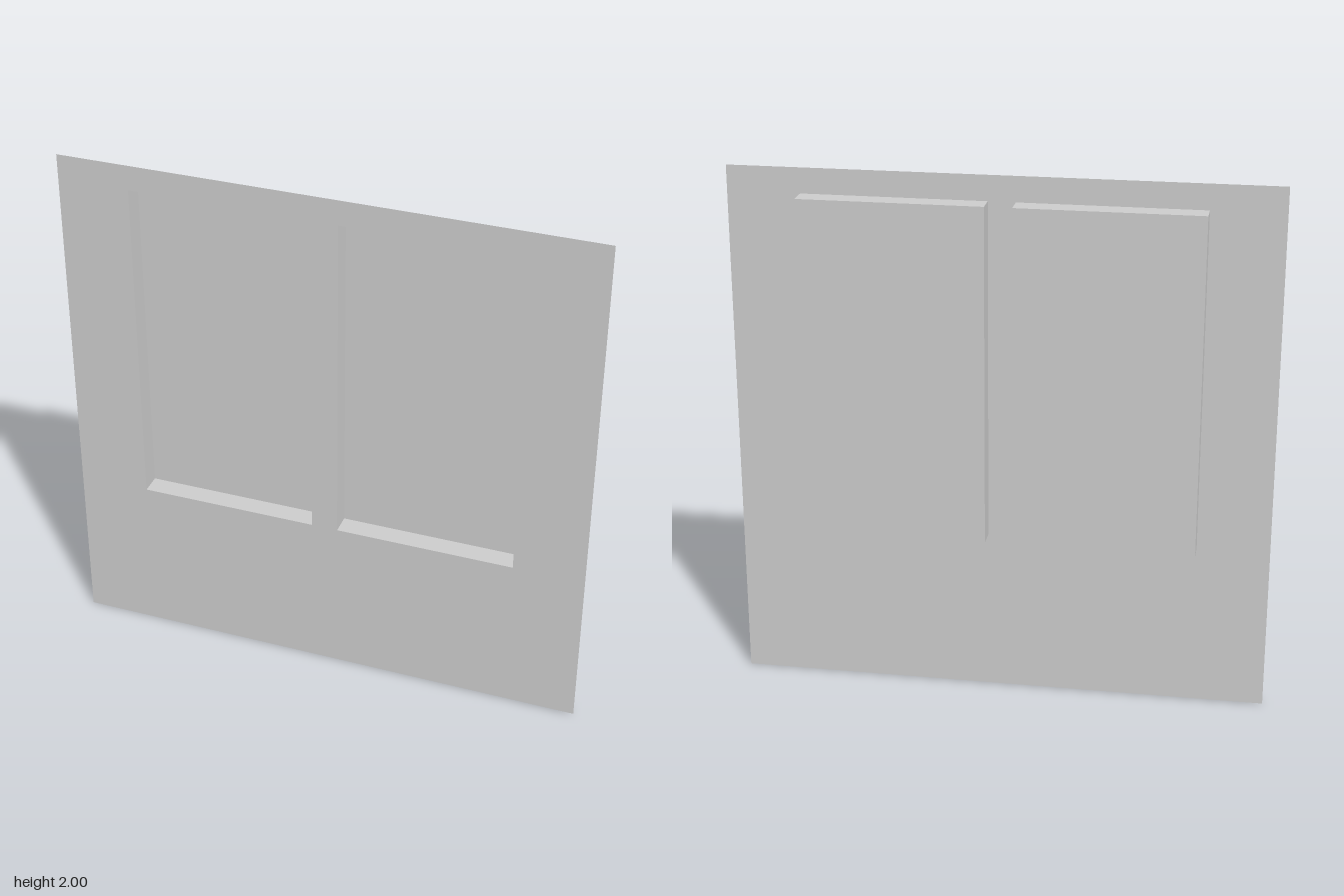
import * as THREE from 'three';

const material = new THREE.MeshStandardMaterial({ color: 0xcccccc, side: THREE.DoubleSide });
const DEPTH = 0.08;
const PANE = { x: 0.39, y: 1.265, w: 0.68, h: 1.28 };

// Thin sheet with two rectangular openings, lying in the front plane
function makeSheet() {
  const rect = (path, x, y, w, h) => path
    .moveTo(x - w / 2, y - h / 2).lineTo(x + w / 2, y - h / 2)
    .lineTo(x + w / 2, y + h / 2).lineTo(x - w / 2, y + h / 2).closePath();
  const shape = rect(new THREE.Shape(), 0, 1, 2, 2);
  for (const side of [-1, 1]) {
    shape.holes.push(rect(new THREE.Path(), side * PANE.x, PANE.y, PANE.w, PANE.h));
  }
  const sheet = new THREE.Mesh(new THREE.ShapeGeometry(shape), material);
  sheet.name = 'wallSheet';
  sheet.position.z = DEPTH / 2;
  return sheet;
}

// Shallow tray: a box with its front (+z) face left out
function makeRecess(side) {
  const geometry = new THREE.BoxGeometry(PANE.w, PANE.h, DEPTH);
  const index = Array.from(geometry.index.array);
  index.splice(24, 6);
  geometry.setIndex(index);
  geometry.clearGroups();
  const recess = new THREE.Mesh(geometry, material);
  recess.name = side > 0 ? 'leftRecess' : 'rightRecess';
  recess.position.set(side * PANE.x, PANE.y, 0);
  return recess;
}

export function createModel() {
  const group = new THREE.Group();
  group.name = 'recessedPanel';
  group.add(makeSheet(), makeRecess(-1), makeRecess(1));
  return group;
}
